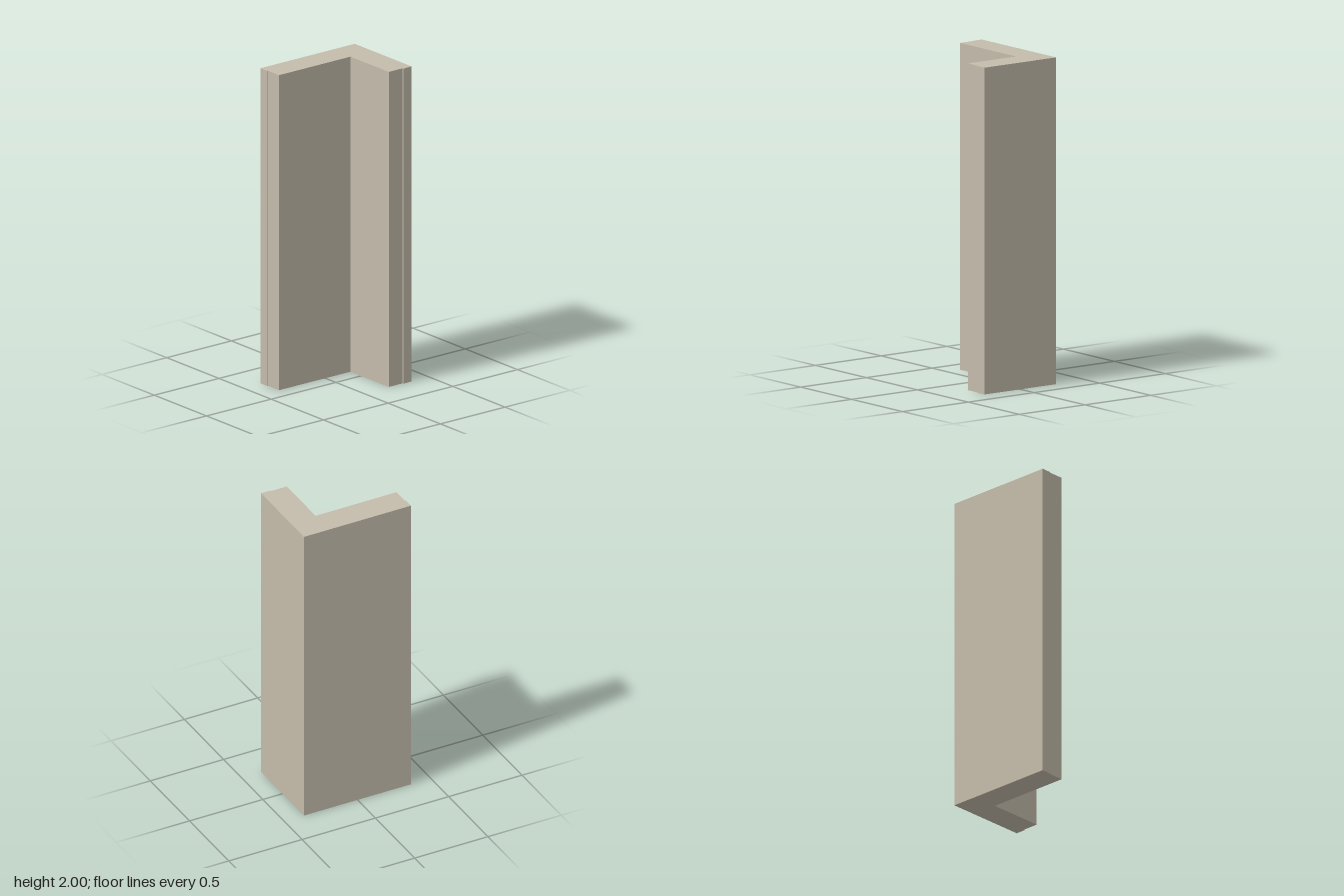
import * as THREE from 'three';

export function createModel() {
  const group = new THREE.Group();
  group.name = 'cornerPillar';

  const stone = new THREE.MeshStandardMaterial({ color: 0xc4bcab });
  stone.name = 'warm stone';

  // L-shaped plan as [x, z], with a shallow rebate on the end of each leg
  const plan = [
    [-0.273, 0.364], [-0.209, 0.364], [-0.209, 0.358], [-0.101, 0.358],
    [-0.101, -0.194], [0.266, -0.194], [0.266, -0.302], [0.273, -0.302],
    [0.273, -0.366], [-0.273, -0.366],
  ];
  const shape = new THREE.Shape(plan.map(([x, z]) => new THREE.Vector2(x, -z)));

  // Extrude the plan and stand it upright
  const geometry = new THREE.ExtrudeGeometry(shape, { depth: 2, bevelEnabled: false });
  geometry.rotateX(-Math.PI / 2);

  const walls = new THREE.Mesh(geometry, stone);
  walls.name = 'cornerWalls';
  group.add(walls);
  return group;
}
